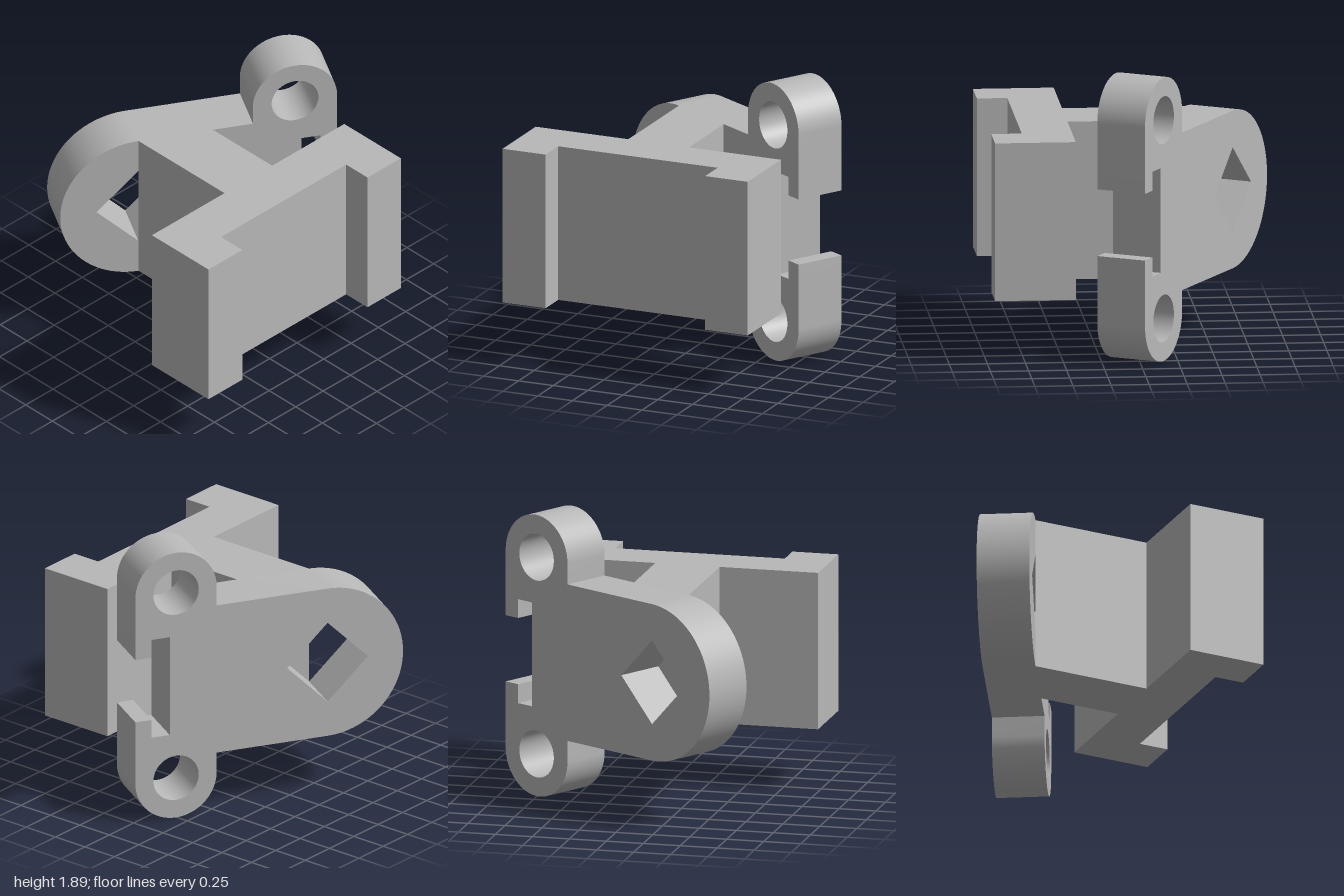
import * as THREE from 'three';
import { toCreasedNormals } from 'three/addons/utils/BufferGeometryUtils.js';

const MID = 0.947;                    // mid height of the bracket
const HALF = 0.527;                   // half height of body and of the rounded plate end
const LENGTH = 1.87, THICK = 0.346;   // slanted plate
const LUG = 0.284;                    // lug radius
const TILT = Math.PI / 6;

function extrude(shape, depth) {
  const geometry = new THREE.ExtrudeGeometry(shape, { depth, bevelEnabled: false, curveSegments: 32 });
  return toCreasedNormals(geometry, 0.5);
}

function polygon(points, Type = THREE.Shape) {
  return new Type(points.map(([x, y]) => new THREE.Vector2(x, y)));
}

export function createModel() {
  const grey = new THREE.MeshStandardMaterial({ color: 0xb8b8b8 });
  grey.name = 'grey';
  const group = new THREE.Group();
  group.name = 'bracket';

  // Channel-shaped base with the column that meets the slanted plate (x, z outline)
  const back = { x: -0.62, z: -0.95 };
  const frontX = back.x - THICK * Math.sin(TILT);
  const frontZ = back.z + THICK * Math.cos(TILT);
  const plateZ = (x) => frontZ + (x - frontX) * Math.tan(TILT);
  const outline = [
    [-1, 0.95], [-0.69, 0.95], [-0.69, 0.75], [0.455, 0.75], [0.455, 0.95], [0.76, 0.95],
    [0.76, 0.42], [0.1, 0.42], [0.1, plateZ(0.1)],
    [-0.335, plateZ(-0.335)], [-0.335, 0.42], [-1, 0.42],
  ];
  const baseGeometry = extrude(polygon(outline.map(([x, z]) => [x, -z])), 2 * HALF);
  baseGeometry.rotateX(-Math.PI / 2);
  const base = new THREE.Mesh(baseGeometry, grey);
  base.name = 'baseAndColumn';
  base.position.y = MID - HALF;
  group.add(base);

  // Slanted plate: round end, two lugs and a T-shaped slot, drawn about mid height
  const lugX = LENGTH - LUG, lugY = MID - LUG, lugLeft = LENGTH - 2 * LUG;
  const shape = new THREE.Shape();
  shape.moveTo(HALF, -HALF);
  shape.lineTo(lugLeft, -HALF);
  shape.lineTo(lugLeft, -lugY);
  shape.absarc(lugX, -lugY, LUG, Math.PI, 2 * Math.PI, false);
  const slot = [[LENGTH, -0.223], [1.757, -0.223], [1.757, -0.35], [1.63, -0.35]];
  slot.forEach(([x, y]) => shape.lineTo(x, y));
  slot.reverse().forEach(([x, y]) => shape.lineTo(x, -y));
  shape.lineTo(LENGTH, lugY);
  shape.absarc(lugX, lugY, LUG, 0, Math.PI, false);
  shape.lineTo(lugLeft, HALF);
  shape.lineTo(HALF, HALF);
  shape.absarc(HALF, 0, HALF, Math.PI / 2, 1.5 * Math.PI, false);

  // Lug bores and diamond opening
  for (const side of [-1, 1]) {
    const bore = new THREE.Path();
    bore.absarc(lugX, side * lugY, 0.158, 0, Math.PI * 2, true);
    shape.holes.push(bore);
  }
  const d = 0.282;
  shape.holes.push(polygon([[HALF - d, 0], [HALF, d], [HALF + d, 0], [HALF, -d], [HALF - d, 0]], THREE.Path));

  const plate = new THREE.Mesh(extrude(shape, THICK), grey);
  plate.name = 'slantedPlate';
  plate.position.set(back.x, MID, back.z);
  plate.rotation.y = -TILT;
  group.add(plate);

  return group;
}
